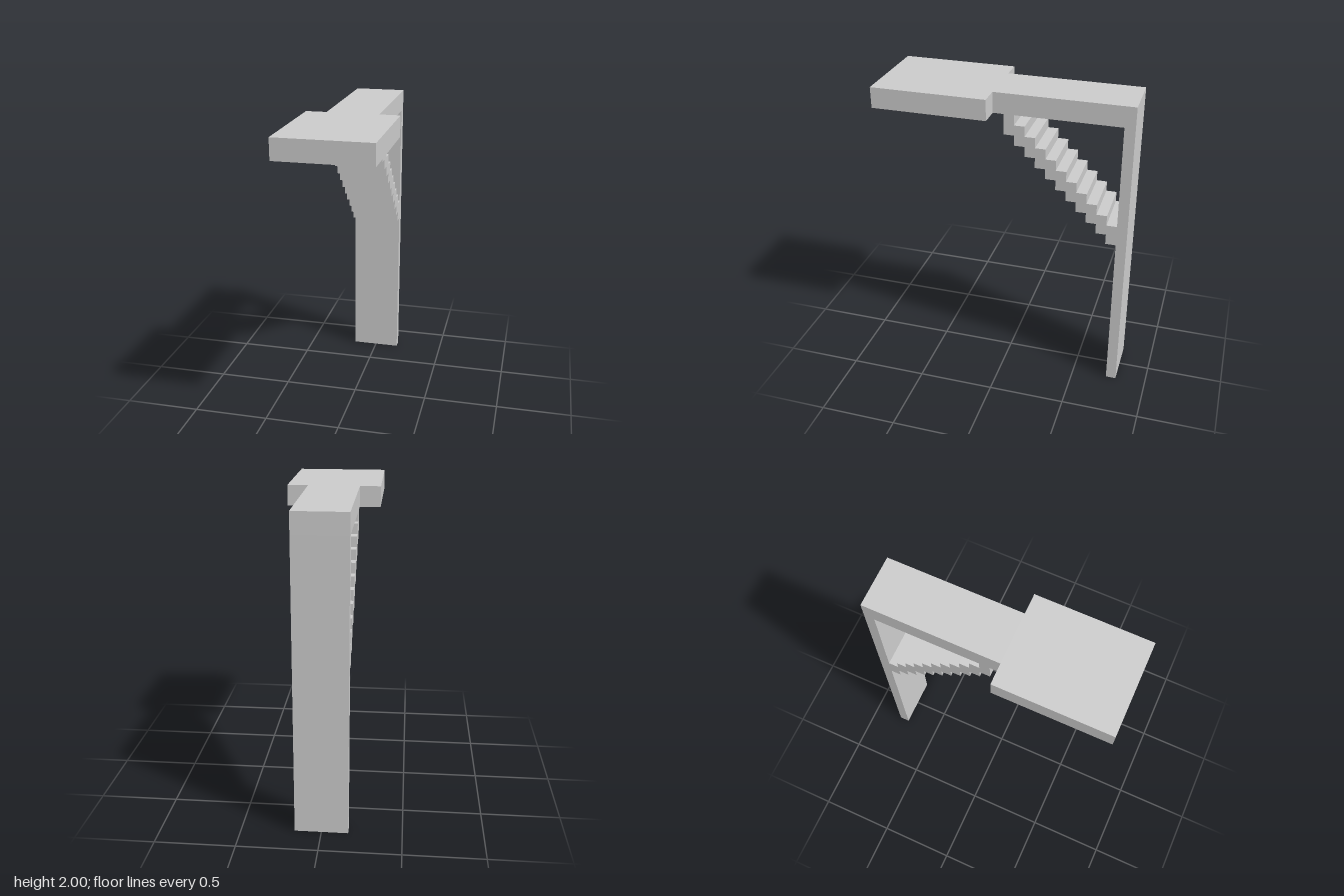
import * as THREE from 'three';

const U = 1 / 15; // base module: every size is a whole number of these

export function createModel() {
  const model = new THREE.Group();
  const material = new THREE.MeshStandardMaterial({ color: 0xcccccc, flatShading: true });

  // Box spanning y0..y1 and z0..z1 (in modules), centred on x
  function slab(name, width, y0, y1, z0, z1) {
    const geometry = new THREE.BoxGeometry(width * U, (y1 - y0) * U, (z1 - z0) * U);
    const mesh = new THREE.Mesh(geometry, material);
    mesh.name = name;
    mesh.position.set(0, (y0 + y1) / 2 * U, (z0 + z1) / 2 * U);
    model.add(mesh);
  }

  slab('post', 5, 0, 28, -12, -11);
  slab('arm', 5, 28, 30, -12, 1);
  slab('headPlate', 9, 28, 30, 1, 12);

  // Stepped diagonal brace: side profile of steps one module wide, two tall
  const steps = 11, width = 5;
  const upper = [], lower = [];
  for (let i = 0; i < steps; i++) {
    upper.push([-i, 28 - i], [-i - 1, 28 - i]);
    lower.push([-i, 26 - i], [-i - 1, 26 - i]);
  }
  const profile = [...upper, ...lower.reverse()].map(([z, y]) => new THREE.Vector2(z * U, y * U));
  const geometry = new THREE.ExtrudeGeometry(new THREE.Shape(profile), {
    depth: width * U,
    bevelEnabled: false,
  });
  geometry.translate(0, 0, -width * U / 2);
  geometry.rotateY(-Math.PI / 2); // profile x becomes model z
  const brace = new THREE.Mesh(geometry, material);
  brace.name = 'steppedBrace';
  model.add(brace);

  return model;
}
